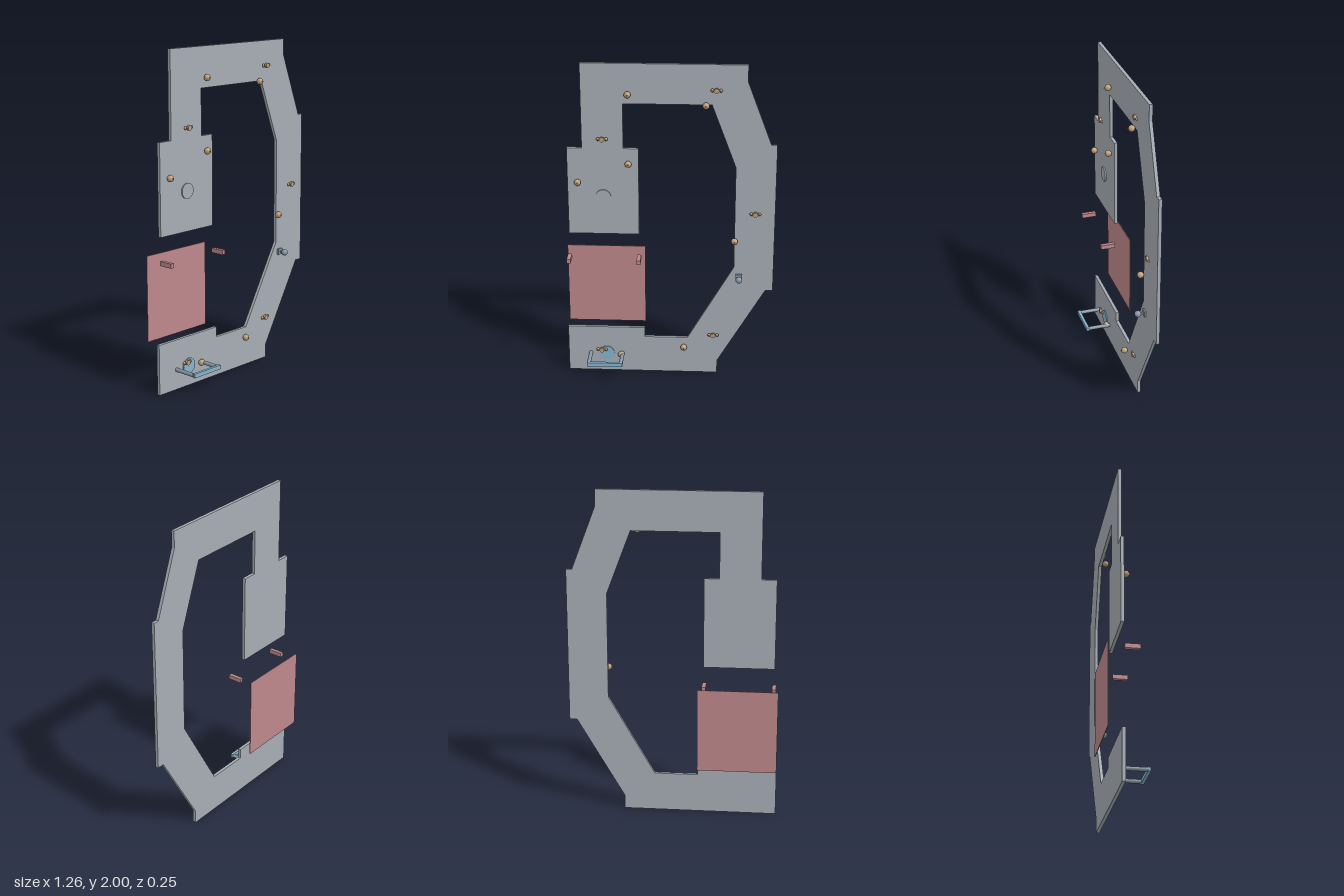
import * as THREE from 'three';

const mat = (name, color) => {
  const m = new THREE.MeshStandardMaterial({ color });
  m.name = name;
  return m;
};

export function createModel() {
  const gray = mat('panel gray', 0xa6adb4);
  const rose = mat('hatch rose', 0xbd878b);
  const tan = mat('brass tan', 0xbe9f79);
  const blue = mat('light blue', 0x86b4cc);
  const steel = mat('steel', 0x8797a5);

  const model = new THREE.Group();
  model.name = 'frame';
  const FRONT = -0.034; // front face of the panel

  const add = (name, geo, material, x, y, z, parent = model) => {
    const mesh = new THREE.Mesh(geo, material);
    mesh.name = name;
    mesh.position.set(x, y, z);
    parent.add(mesh);
    return mesh;
  };
  const disc = (r, depth, sides = 32) => new THREE.CylinderGeometry(r, r, depth, sides).rotateX(Math.PI / 2);

  // Open ring-shaped panel
  const outline = [
    [-0.635, 0], [0.297, 0], [0.297, 0.085], [0.585, 0.58], [0.63, 0.58], [0.63, 1.52],
    [0.595, 1.52], [0.45, 1.9], [0.45, 2], [-0.52, 2], [-0.52, 1.485], [-0.61, 1.485],
    [-0.61, 0.94], [-0.185, 0.94], [-0.185, 1.485], [-0.275, 1.485], [-0.275, 1.76],
    [0.245, 1.76], [0.39, 1.378], [0.39, 0.73], [0.11, 0.242], [-0.155, 0.242],
    [-0.155, 0.305], [-0.635, 0.305],
  ].map(([x, y]) => new THREE.Vector2(x, y));
  const panel = new THREE.ExtrudeGeometry(new THREE.Shape(outline), { depth: 0.02, bevelEnabled: false });
  add('panel', panel, gray, 0, 0, FRONT - 0.02);

  // Thin hatch sheet behind the gap, and its two pegs
  add('hatch', new THREE.BoxGeometry(0.48, 0.515, 0.004), rose, -0.395, 0.5625, -0.128);
  for (const x of [-0.608, -0.185]) {
    add('hatchPeg', new THREE.BoxGeometry(0.024, 0.027, 0.089), rose, x, 0.79, 0.0105);
  }

  // Round knobs with a small tip
  const ball = new THREE.SphereGeometry(0.02, 20, 14);
  const tip = new THREE.ConeGeometry(0.005, 0.012, 10).rotateX(Math.PI / 2);
  const knobs = [
    [-0.245, 1.82], [0.21, 1.76], [-0.245, 1.395], [-0.548, 1.275],
    [0.39, 0.912], [0.088, 0.183], [-0.305, 0.122],
  ];
  for (const [x, y] of knobs) {
    const knob = new THREE.Group();
    knob.name = 'knob';
    knob.position.set(x, y, FRONT + 0.02);
    add('knobBall', ball, tan, 0, 0, 0, knob);
    add('knobTip', tip, tan, 0, 0, 0.022, knob);
    model.add(knob);
  }

  // Wing nuts: round hub, crossbar and two tapered ends
  const hub = disc(0.015, 0.014, 20);
  const wing = new THREE.ConeGeometry(0.011, 0.014, 14).rotateX(Math.PI / 2);
  const bar = new THREE.BoxGeometry(0.044, 0.008, 0.006);
  for (const [x, y] of [[0.27, 1.852], [-0.397, 1.547], [0.512, 1.09], [0.27, 0.273], [-0.425, 0.153]]) {
    const nut = new THREE.Group();
    nut.name = 'wingNut';
    nut.position.set(x, y, -0.011);
    add('nutHub', hub, tan, 0, 0, 0, nut);
    add('nutBar', bar, tan, 0, 0, -0.003, nut);
    for (const s of [-1, 1]) add('nutWing', wing, tan, s * 0.024, 0, 0, nut);
    model.add(nut);
  }

  // Cover discs
  add('upperDisc', disc(0.046, 0.008), gray, -0.397, 1.18, FRONT + 0.004);
  add('lowerDisc', disc(0.048, 0.006), blue, -0.395, 0.122, FRONT + 0.003);

  // Pull handle: two posts and a front bar
  for (const x of [-0.496, -0.297]) {
    add('handlePost', disc(0.012, 0.146, 18), steel, x, 0.122, FRONT + 0.073);
  }
  add('handleBar', new THREE.BoxGeometry(0.218, 0.025, 0.018), blue, -0.396, 0.122, 0.116);

  // Latch: base plate, stem and ball
  add('latchPlate', new THREE.BoxGeometry(0.038, 0.038, 0.01), steel, 0.422, 0.668, FRONT + 0.005);
  add('latchStem', disc(0.006, 0.03, 12), steel, 0.422, 0.668, -0.01);
  add('latchBall', ball, steel, 0.422, 0.668, 0.011);

  return model;
}
